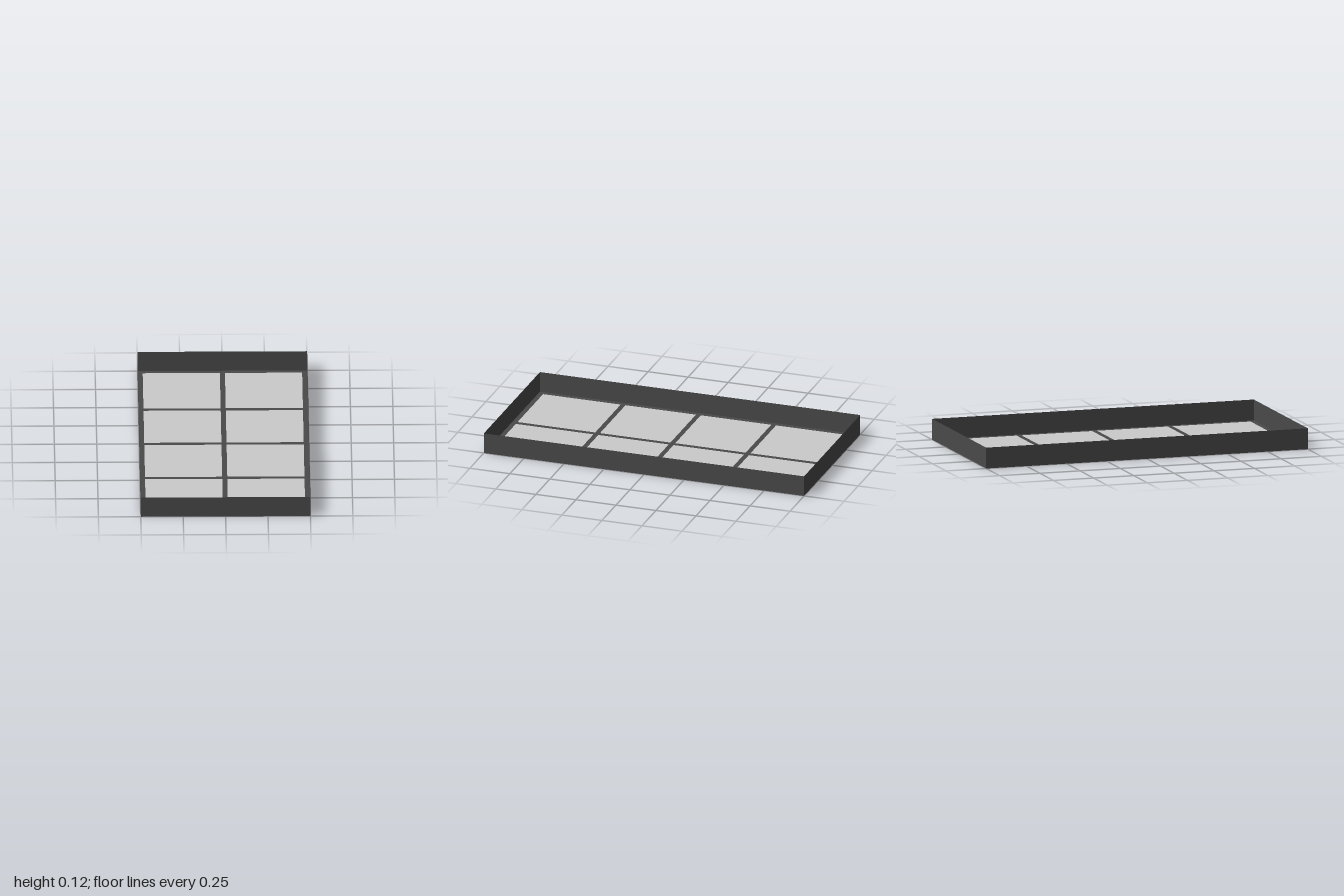
import * as THREE from 'three';

const WIDTH = 1, LENGTH = 2, HEIGHT = 0.125, RIM = 0.03, BAR = 0.03;

export function createModel() {
  const group = new THREE.Group();
  const dark = new THREE.MeshStandardMaterial({ color: 0x4a4a4a, side: THREE.DoubleSide });
  const grey = new THREE.MeshStandardMaterial({ color: 0xcccccc, side: THREE.DoubleSide });

  const add = (name, geometry, material) => {
    const mesh = new THREE.Mesh(geometry, material);
    mesh.name = name;
    group.add(mesh);
    return mesh;
  };

  const rectangle = (Type, x0, x1, y0, y1) => new Type([
    new THREE.Vector2(x0, y0), new THREE.Vector2(x1, y0),
    new THREE.Vector2(x1, y1), new THREE.Vector2(x0, y1),
  ]);

  // Openings between the rim and the glazing bars
  const columns = [[-WIDTH / 2 + RIM, -BAR / 2], [BAR / 2, WIDTH / 2 - RIM]];
  const crossBars = [-0.47, 0, 0.47];
  const rows = [-LENGTH / 2 + RIM - BAR / 2, ...crossBars, LENGTH / 2 - RIM + BAR / 2];

  const lattice = rectangle(THREE.Shape, -WIDTH / 2, WIDTH / 2, -LENGTH / 2, LENGTH / 2);
  for (const [x0, x1] of columns) {
    for (let i = 0; i < rows.length - 1; i++) {
      const z0 = rows[i] + BAR / 2, z1 = rows[i + 1] - BAR / 2;
      lattice.holes.push(rectangle(THREE.Path, x0, x1, z0, z1));

      // Pane filling this opening
      const pane = new THREE.PlaneGeometry(x1 - x0, z1 - z0).rotateX(-Math.PI / 2);
      add('pane', pane, grey).position.set((x0 + x1) / 2, 0, (z0 + z1) / 2);
    }
  }

  // Flat rim and glazing bars
  add('glazingBars', new THREE.ShapeGeometry(lattice).rotateX(-Math.PI / 2), dark);

  // Thin upright walls around the edge
  for (const side of [1, -1]) {
    const endWall = add(side > 0 ? 'frontWall' : 'backWall', new THREE.PlaneGeometry(WIDTH, HEIGHT), dark);
    endWall.position.set(0, HEIGHT / 2, side * LENGTH / 2);
    endWall.rotation.y = side > 0 ? 0 : Math.PI;

    const sideWall = add(side > 0 ? 'leftWall' : 'rightWall', new THREE.PlaneGeometry(LENGTH, HEIGHT), dark);
    sideWall.position.set(side * WIDTH / 2, HEIGHT / 2, 0);
    sideWall.rotation.y = side * Math.PI / 2;
  }

  return group;
}
